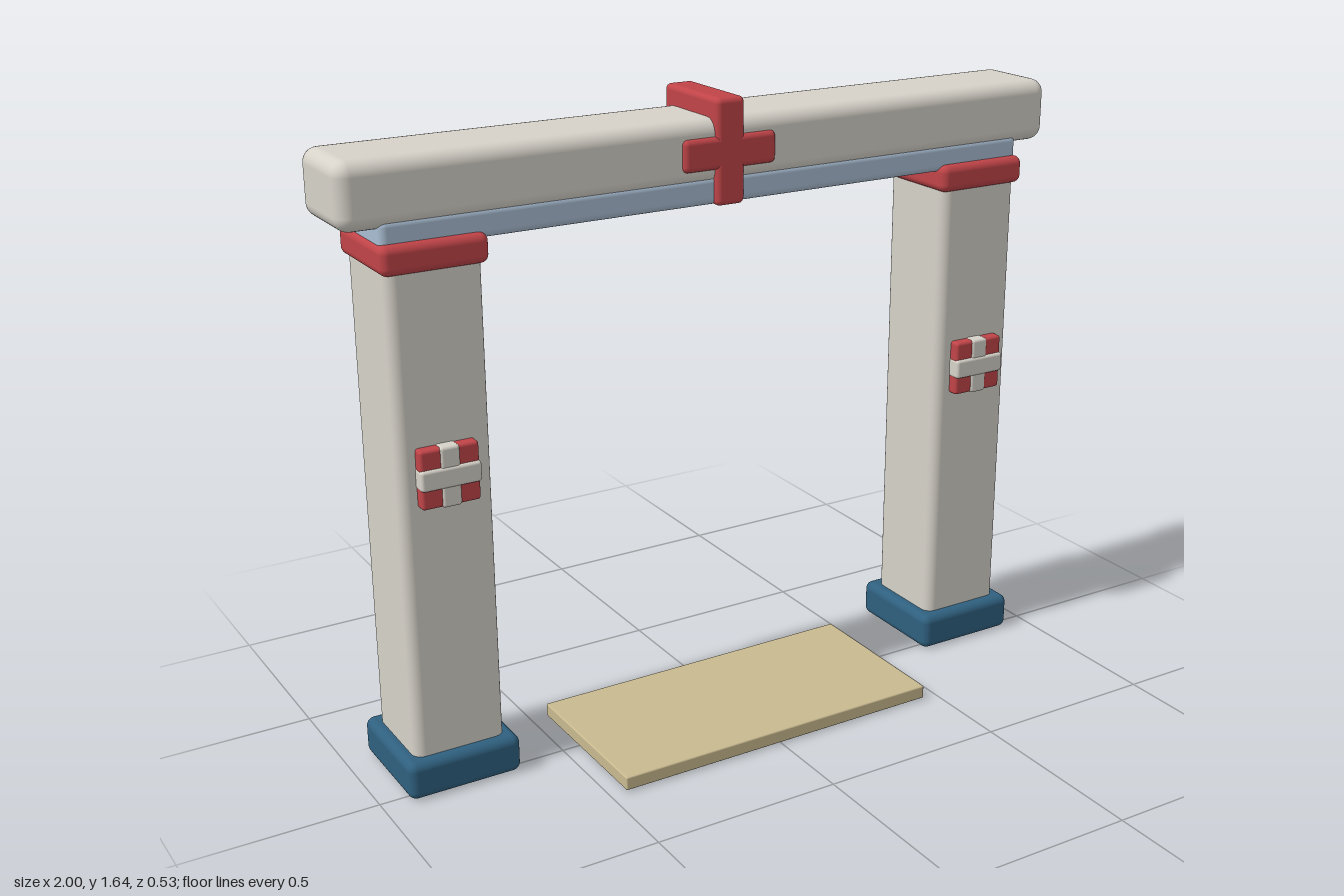
import * as THREE from 'three';
import { RoundedBoxGeometry } from 'three/addons/geometries/RoundedBoxGeometry.js';

const paint = (color) => new THREE.MeshStandardMaterial({ color });
const stone = paint(0xd6d2c9);
const red = paint(0xc04448);
const navy = paint(0x2f607f);
const paleBlue = paint(0xa9bdd2);
const tan = paint(0xc8b98f);

// Soft-edged block given by its [min, max] extent on each axis
function block(name, material, [x0, x1], [y0, y1], [z0, z1], radius) {
  const geometry = new RoundedBoxGeometry(x1 - x0, y1 - y0, z1 - z0, 4, radius);
  const mesh = new THREE.Mesh(geometry, material);
  mesh.name = name;
  mesh.position.set((x0 + x1) / 2, (y0 + y1) / 2, (z0 + z1) / 2);
  return mesh;
}

// Post with foot, collar and front badge, centred on x = 0
function createPost(name) {
  const post = new THREE.Group();
  post.name = name;
  post.add(
    block('foot', navy, [-0.15, 0.15], [0, 0.1], [-0.265, 0.037], 0.022),
    block('pillar', stone, [-0.121, 0.121], [0.03, 1.37], [-0.235, 0.006], 0.028),
    block('collar', red, [-0.133, 0.133], [1.323, 1.395], [-0.247, 0.02], 0.02),
    block('badgePlate', red, [-0.075, 0.075], [0.757, 0.905], [-0.005, 0.034], 0.008),
    block('badgeUpright', stone, [-0.025, 0.025], [0.755, 0.907], [0, 0.038], 0.008),
    block('badgeCrossbar', stone, [-0.077, 0.077], [0.805, 0.857], [0, 0.042], 0.008),
  );
  return post;
}

export function createModel() {
  const model = new THREE.Group();
  model.name = 'gateway';

  // Two matching posts
  for (const side of [-1, 1]) {
    const post = createPost(side > 0 ? 'leftPost' : 'rightPost');
    post.position.x = side * 0.781;
    model.add(post);
  }

  // Lintel resting on a thinner rail
  model.add(
    block('rail', paleBlue, [-0.905, 0.905], [1.377, 1.45], [-0.229, -0.002], 0.018),
    block('lintel', stone, [-1, 1], [1.427, 1.59], [-0.232, 0.002], 0.036),
  );

  // Cross-shaped strap around the lintel
  const strap = new THREE.Group();
  strap.name = 'crossStrap';
  strap.add(
    block('strapUpright', red, [-0.04, 0.04], [1.375, 1.64], [-0.243, 0.014], 0.014),
    block('strapCrossbar', red, [-0.131, 0.131], [1.466, 1.547], [-0.243, 0.014], 0.014),
  );
  model.add(strap);

  // Floor mat between the posts
  model.add(block('mat', tan, [-0.457, 0.457], [0.004, 0.04], [-0.18, 0.265], 0.004));

  return model;
}
